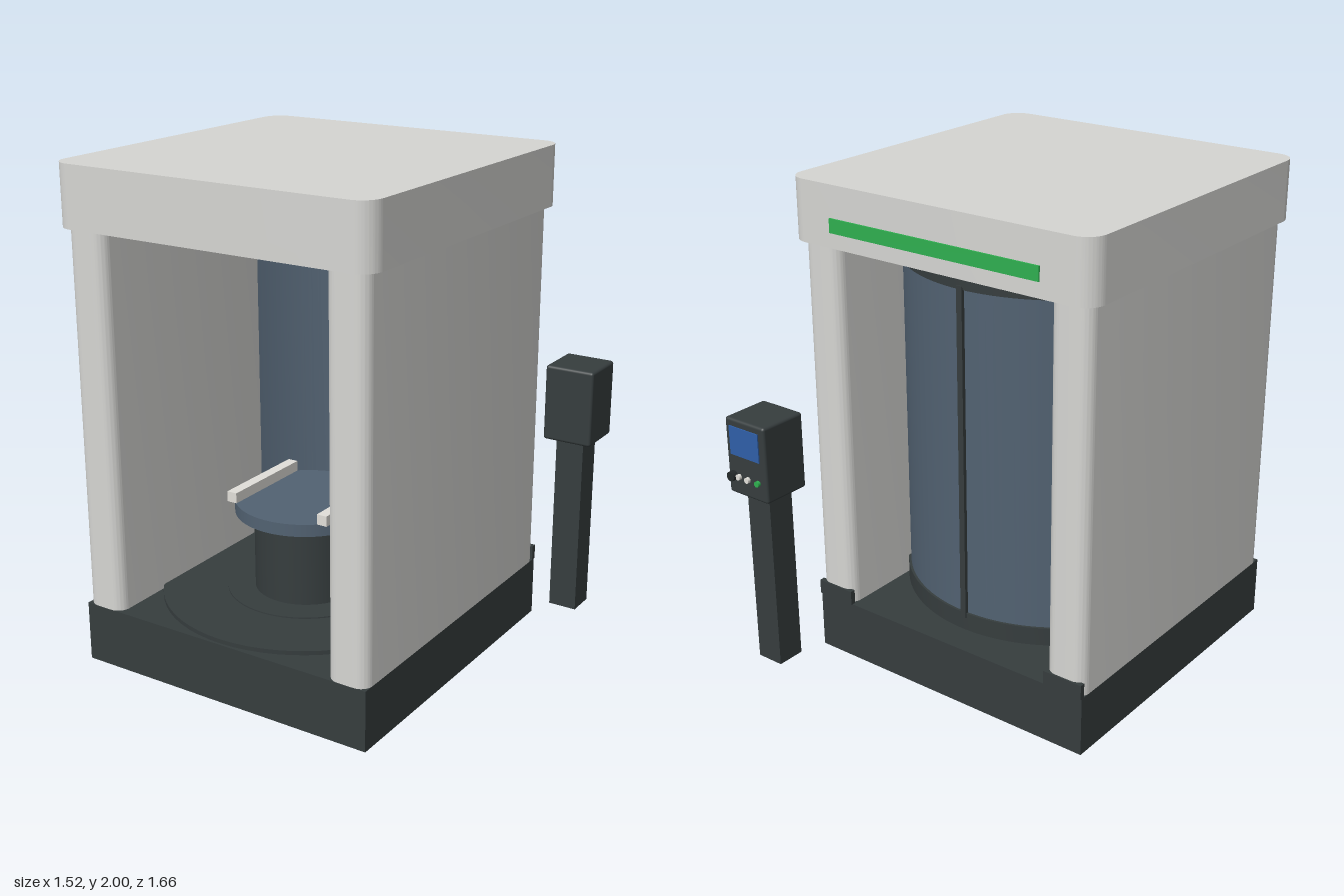
import * as THREE from 'three';
import { toCreasedNormals } from 'three/addons/utils/BufferGeometryUtils.js';
import { RoundedBoxGeometry } from 'three/addons/geometries/RoundedBoxGeometry.js';

const mat = (name, color) => {
  const m = new THREE.MeshStandardMaterial({ color });
  m.name = name;
  return m;
};

export function createModel() {
  const root = new THREE.Group();
  root.name = 'scanningBooth';

  const panel = mat('light grey panel', 0xd6d6d3);
  const dark = mat('charcoal', 0x363d3e);
  const glass = mat('blue grey glass', 0x526272);
  const white = mat('off white', 0xe2e0da);
  const green = mat('green', 0x2fb050);
  const blue = mat('screen blue', 0x2f5fa8);
  const black = mat('near black', 0x24292a);

  const CX = -0.085, CZ = 0.21; // axis of the turntable and curved door

  const add = (name, geo, material, x = 0, y = 0, z = 0, parent = root) => {
    const m = new THREE.Mesh(geo, material);
    m.name = name;
    m.position.set(x, y, z);
    parent.add(m);
    return m;
  };
  // box given by its limits on each axis
  const box = (name, material, x0, x1, y0, y1, z0, z1, parent) =>
    add(name, new THREE.BoxGeometry(x1 - x0, y1 - y0, z1 - z0), material,
      (x0 + x1) / 2, (y0 + y1) / 2, (z0 + z1) / 2, parent);
  // upright extrusion of a plan shape (shape +y becomes -z)
  const upright = (shape, height) => {
    const g = new THREE.ExtrudeGeometry(shape, { depth: height, bevelEnabled: false, curveSegments: 20 });
    g.rotateX(-Math.PI / 2);
    return toCreasedNormals(g, 0.6);
  };
  // slab with rounded vertical corners
  const roundedSlab = (name, material, x0, x1, y0, y1, z0, z1, r) => {
    const a = (x1 - x0) / 2, b = (z1 - z0) / 2, s = new THREE.Shape();
    s.absarc(a - r, b - r, r, 0, Math.PI / 2);
    s.absarc(-a + r, b - r, r, Math.PI / 2, Math.PI);
    s.absarc(-a + r, -b + r, r, Math.PI, Math.PI * 1.5);
    s.absarc(a - r, -b + r, r, Math.PI * 1.5, Math.PI * 2);
    return add(name, upright(s, y1 - y0), material, (x0 + x1) / 2, y0, (z0 + z1) / 2);
  };
  // curved wall segment around the booth axis, facing the back
  const arcWall = (name, material, rIn, rOut, y0, y1) => {
    const half = THREE.MathUtils.degToRad(64), mid = Math.PI / 2;
    const s = new THREE.Shape();
    s.absarc(0, 0, rOut, mid - half, mid + half, false);
    s.absarc(0, 0, rIn, mid + half, mid - half, true);
    s.closePath();
    return add(name, upright(s, y1 - y0), material, CX, y0, CZ);
  };
  const disc = (name, material, r, y0, y1) =>
    add(name, new THREE.CylinderGeometry(r, r, y1 - y0, 64), material, CX, (y0 + y1) / 2, CZ);

  // Base, side walls and roof
  box('base', dark, -0.735, 0.565, 0, 0.245, -0.53, 0.8);
  for (const [side, x0] of [['right', -0.735], ['left', 0.395]]) {
    roundedSlab(side + 'Wall', panel, x0, x0 + 0.17, 0.245, 1.76, -0.53, 0.8, 0.05);
    box(side + 'KickPlate', dark, x0, x0 + 0.17, 0.245, 0.305, -0.537, -0.515);
  }
  roundedSlab('roof', panel, -0.765, 0.595, 1.76, 2, -0.565, 0.828, 0.08);
  box('statusStrip', green, -0.555, 0.385, 1.82, 1.875, -0.572, -0.564);
  box('ceilingLight', white, -0.465, 0.29, 1.725, 1.76, -0.39, -0.34);
  box('wallReader', panel, -0.565, -0.555, 0.78, 1.16, -0.235, -0.18);

  // Curved door at the back
  arcWall('doorGlass', glass, 0.595, 0.605, 0.31, 1.665);
  arcWall('lowerRail', dark, 0.585, 0.615, 0.245, 0.32);
  arcWall('upperRail', dark, 0.585, 0.615, 1.655, 1.712);
  box('doorPost', dark, CX - 0.0125, CX + 0.0125, 0.3, 1.67, -0.41, -0.37);

  // Turntable floor and pedestal table
  disc('floorDisc', dark, 0.58, 0.245, 0.262);
  disc('floorRing', dark, 0.32, 0.262, 0.267);
  disc('pedestal', dark, 0.21, 0.262, 0.595);
  disc('tableTop', glass, 0.285, 0.59, 0.64);
  for (const s of [-1, 1]) {
    const x = CX + s * 0.2125;
    box(s < 0 ? 'rightGuide' : 'leftGuide', white, x - 0.0215, x + 0.0215, 0.64, 0.682, CZ - 0.21, CZ + 0.21);
  }

  // Free-standing control console facing the back
  const kiosk = new THREE.Group();
  kiosk.name = 'controlConsole';
  root.add(kiosk);
  box('consolePost', dark, 0.595, 0.715, 0, 0.77, -0.76, -0.64, kiosk);
  add('consoleHead', new RoundedBoxGeometry(0.21, 0.32, 0.21, 3, 0.012), dark, 0.655, 0.92, -0.705, kiosk);
  box('consoleScreen', blue, 0.58, 0.735, 0.93, 1.05, -0.815, -0.808, kiosk);
  const button = (name, material, x, r, depth) => {
    const g = new THREE.CylinderGeometry(r, r, depth, 20).rotateX(Math.PI / 2);
    add(name, g, material, x, 0.84, -0.808 - depth / 2, kiosk);
  };
  button('startButton', green, 0.595, 0.012, 0.015);
  button('middleButton', white, 0.65, 0.012, 0.015);
  button('endButton', white, 0.698, 0.012, 0.015);
  button('knob', black, 0.727, 0.02, 0.025);

  return root;
}
